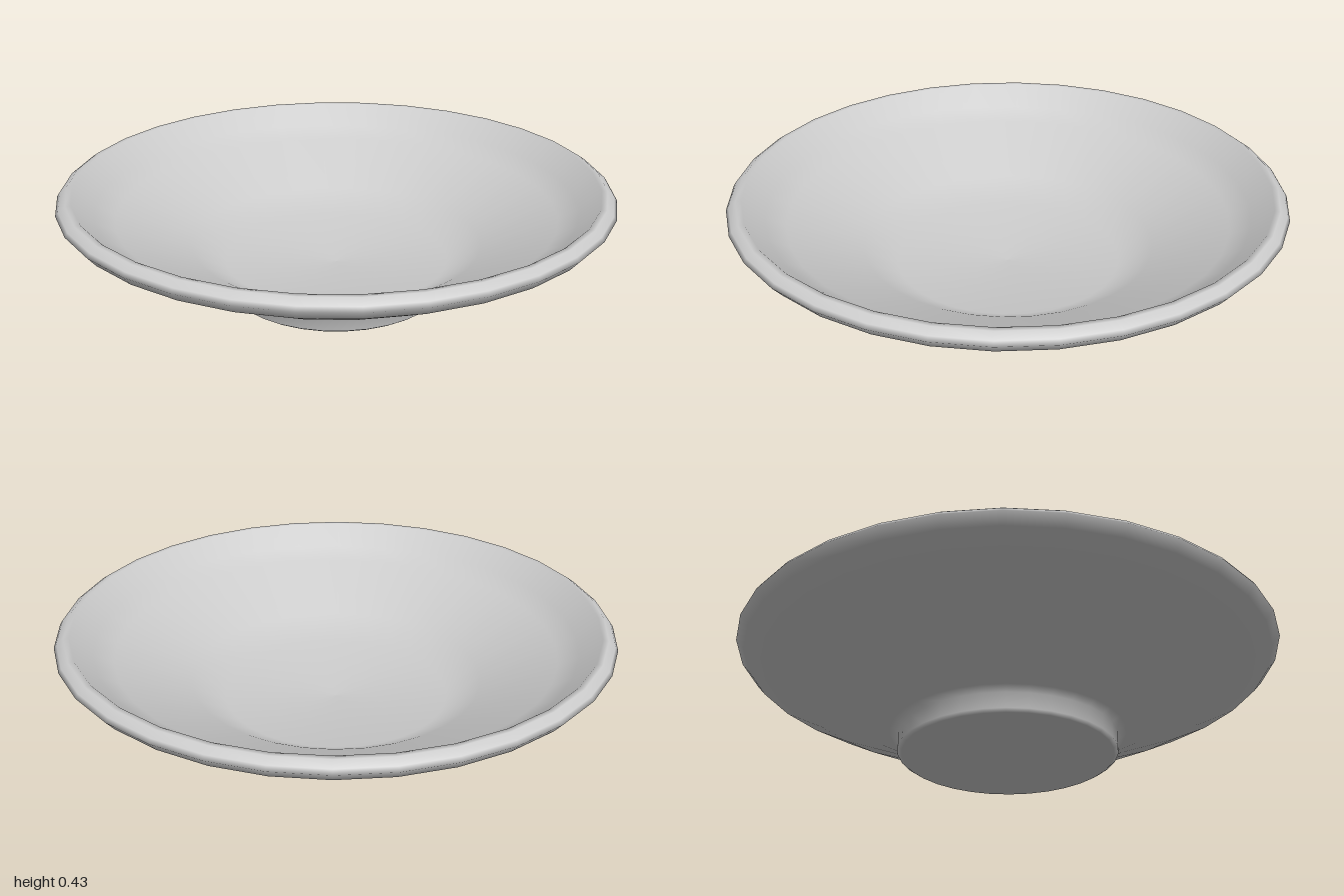
import * as THREE from 'three';

const SEGMENTS = 32;

// Closed cross-section as [radius, height], from the underside around to the inner floor
const PROFILE = [
  // foot
  [0, 0], [0.385, 0.012], [0.4, 0.022], [0.4, 0.08],
  // flared outer wall
  [0.43, 0.096], [0.53, 0.15], [0.8, 0.27], [0.97, 0.36],
  // rounded rim
  [1, 0.395], [0.99, 0.41], [0.965, 0.428], [0.945, 0.428],
  // inner wall and dished floor
  [0.87, 0.357], [0.8, 0.317], [0.53, 0.195], [0.41, 0.128], [0, 0.105],
];

export function createModel() {
  const model = new THREE.Group();
  model.name = 'bowl';

  const points = PROFILE.map(([r, y]) => new THREE.Vector2(r, y));
  const body = new THREE.Mesh(
    new THREE.LatheGeometry(points, SEGMENTS),
    new THREE.MeshStandardMaterial({ color: 0xcccccc }),
  );
  body.name = 'bowlBody';
  model.add(body);

  return model;
}
